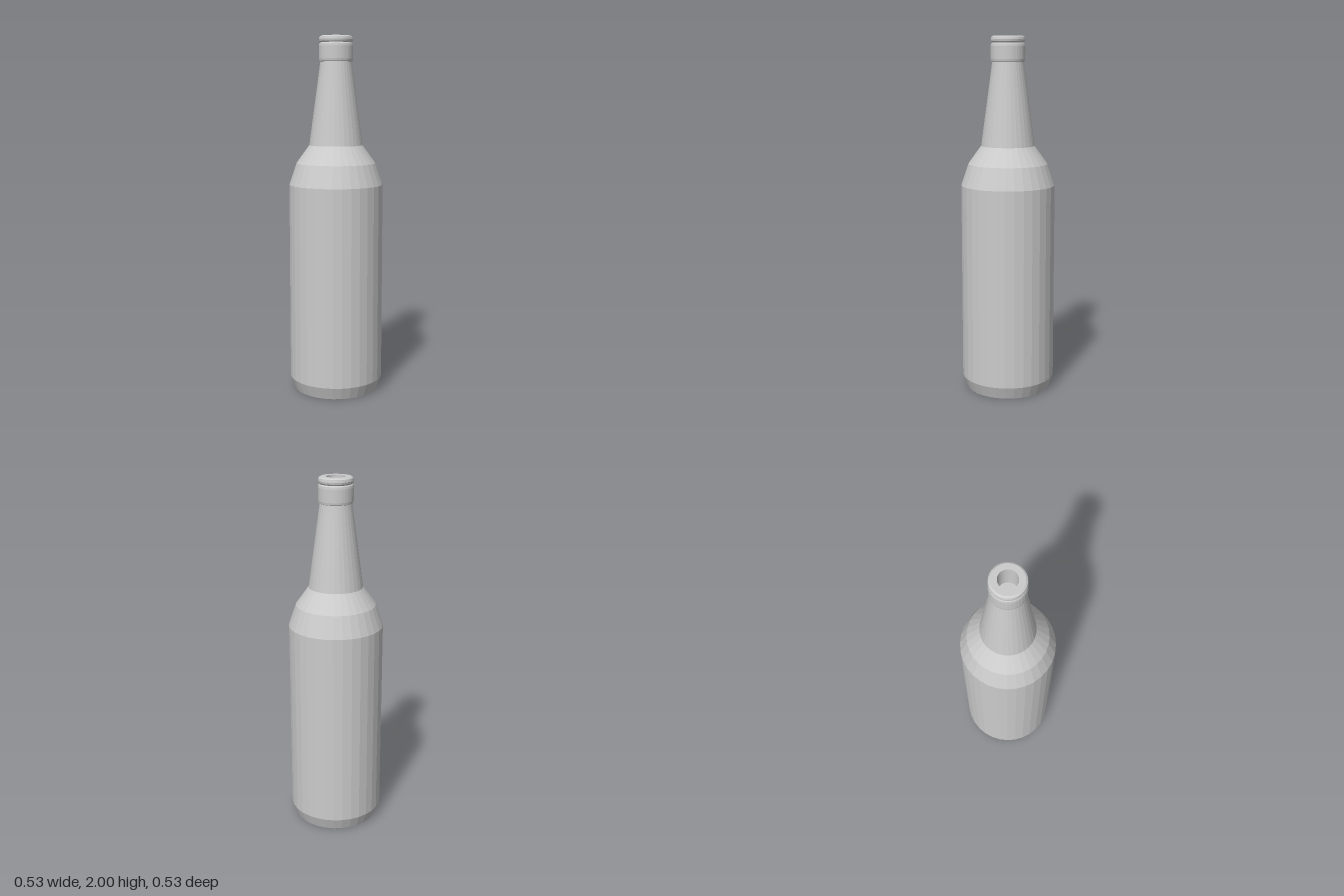
import * as THREE from 'three';

const SIDES = 32;

export function createModel() {
  const group = new THREE.Group();
  group.name = 'bottle';
  const material = new THREE.MeshStandardMaterial({ color: 0xcccccc, flatShading: true });

  // Turn a profile of [radius, height] pairs, listed so the faces point outward
  const turn = (name, profile) => {
    const points = profile.map(([r, y]) => new THREE.Vector2(r, y));
    const mesh = new THREE.Mesh(new THREE.LatheGeometry(points, SIDES), material);
    mesh.name = name;
    group.add(mesh);
  };

  // Flat base with a bevelled foot
  turn('base', [[0, 0], [0.237, 0], [0.263, 0.07]]);
  // Straight body
  turn('body', [[0.263, 0.07], [0.263, 1.18]]);
  // Two-step shoulder
  turn('shoulder', [[0.263, 1.18], [0.222, 1.3], [0.15, 1.4]]);
  // Tapered neck
  turn('neck', [[0.15, 1.4], [0.087, 1.86]]);
  // Collar band below the lip
  turn('collar', [[0.087, 1.86], [0.093, 1.863], [0.095, 1.875], [0.095, 1.945], [0.093, 1.957], [0.088, 1.963]]);
  // Rounded lip with a flat rim
  turn('lip', [[0.088, 1.963], [0.093, 1.97], [0.095, 1.98], [0.092, 1.994], [0.083, 2], [0.051, 2]]);
  // Mouth bore, closed below
  turn('mouth', [[0.051, 2], [0.051, 1.86], [0, 1.86]]);

  return group;
}
